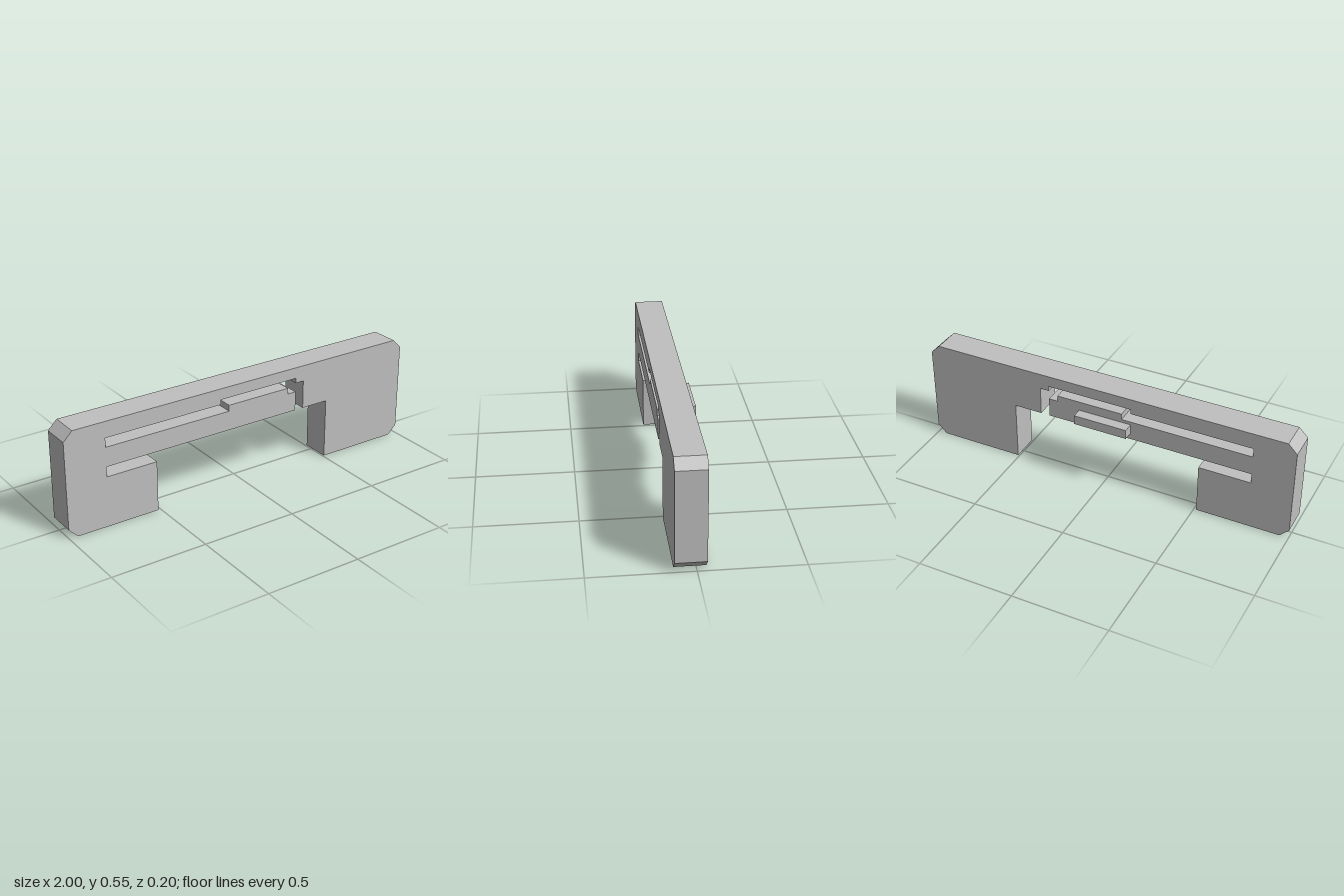
import * as THREE from 'three';

const shapeOf = (points) => new THREE.Shape(points.map(([a, b]) => new THREE.Vector2(a, b)));

export function createModel() {
  const group = new THREE.Group();
  group.name = 'latchClip';

  const grey = new THREE.MeshStandardMaterial({ color: 0xbfbfbf });
  grey.name = 'grey';

  // Frame with two legs and a springy cantilever beam, one continuous outline
  const outline = shapeOf([
    [-0.953, 0], [-0.513, 0], [-0.513, 0.265], [-0.786, 0.265],
    // beam: underside, free end, raised step on top
    [-0.786, 0.318], [0.31, 0.318], [0.31, 0.42], [0.262, 0.42],
    [0.262, 0.452], [-0.096, 0.452], [-0.096, 0.42], [-0.786, 0.42],
    // slot roof
    [-0.786, 0.468], [-0.144, 0.468], [-0.144, 0.494], [0.31, 0.494],
    [0.31, 0.468], [0.358, 0.468], [0.358, 0.318], [0.508, 0.318],
    // other leg and chamfered outer edge
    [0.508, 0], [0.953, 0], [1, 0.047], [1, 0.505],
    [0.953, 0.552], [-0.953, 0.552], [-1, 0.505], [-1, 0.047],
  ]);
  const frameGeometry = new THREE.ExtrudeGeometry(outline, { depth: 0.149, bevelEnabled: false });
  frameGeometry.translate(0, 0, -0.047);
  const frame = new THREE.Mesh(frameGeometry, grey);
  frame.name = 'frameWithBeam';
  group.add(frame);

  // Catch on the back of the beam, its underside rising slightly outward
  // (profile in z, y; turned so the extrusion runs along x)
  const profile = shapeOf([[0.047, 0.349], [0.101, 0.353], [0.101, 0.403], [0.047, 0.403]]);
  const catchGeometry = new THREE.ExtrudeGeometry(profile, { depth: 0.285, bevelEnabled: false });
  catchGeometry.rotateY(Math.PI / 2).translate(-0.145, 0, 0);
  const catchTab = new THREE.Mesh(catchGeometry, grey);
  catchTab.name = 'catchTab';
  group.add(catchTab);

  return group;
}
